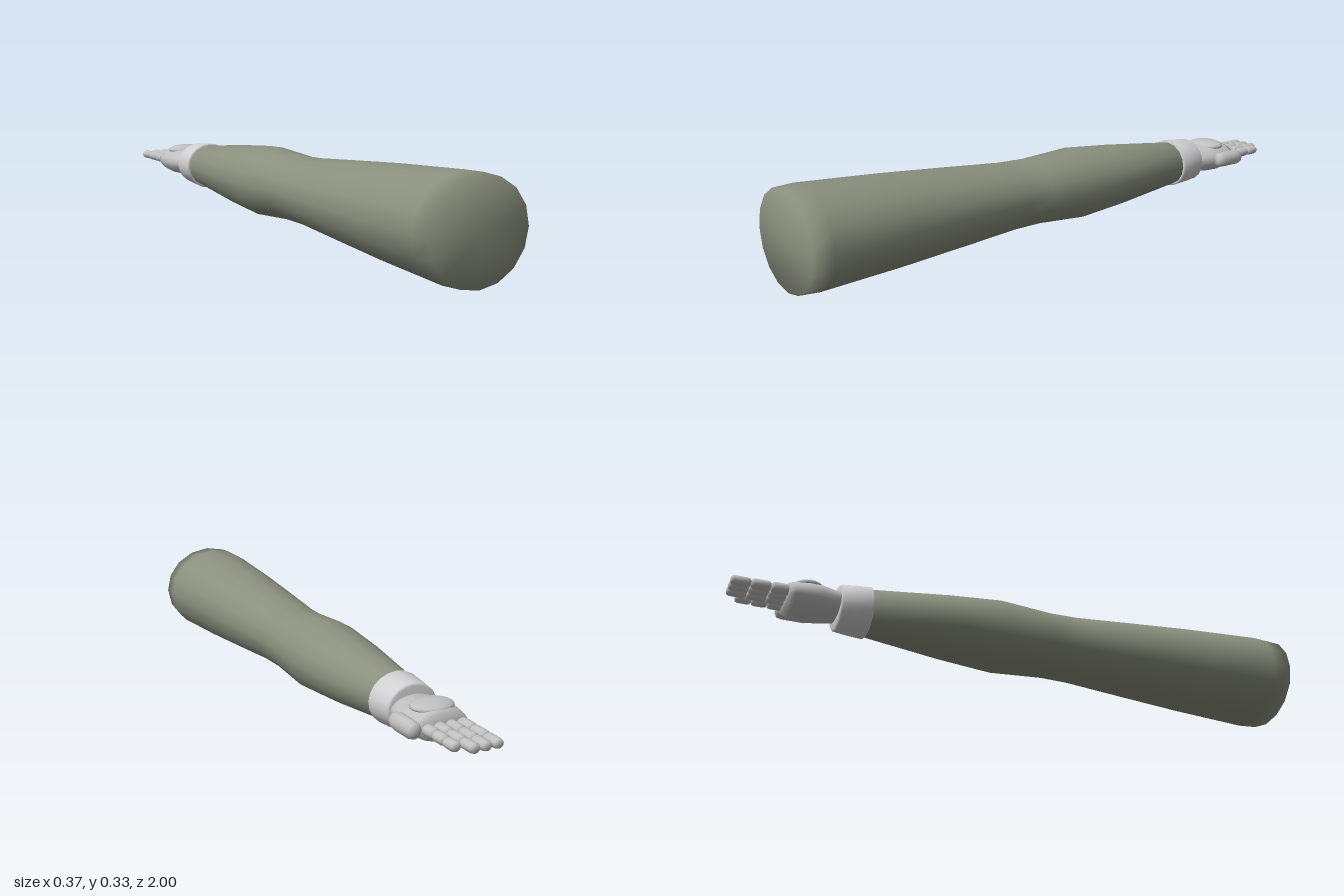
import * as THREE from 'three';

const CY = 0.167; // height of the arm's axis

// Smooth closed loft along z: rings are [z, rx, ry], ordered from +z to -z.
function loft(rings, sides) {
  const pos = [], idx = [];
  for (const [z, rx, ry] of rings) {
    for (let i = 0; i < sides; i++) {
      const a = (i / sides) * Math.PI * 2;
      pos.push(Math.cos(a) * rx, Math.sin(a) * ry, z);
    }
  }
  const n = rings.length, front = n * sides, back = front + 1;
  pos.push(0, 0, rings[0][0], 0, 0, rings[n - 1][0]);
  for (let i = 0; i < sides; i++) {
    const j = (i + 1) % sides;
    for (let r = 0; r < n - 1; r++) {
      const a = r * sides + i, b = r * sides + j;
      idx.push(a, a + sides, b + sides, a, b + sides, b);
    }
    idx.push(front, i, j, back, (n - 1) * sides + j, (n - 1) * sides + i);
  }
  const geo = new THREE.BufferGeometry();
  geo.setAttribute('position', new THREE.Float32BufferAttribute(pos, 3));
  geo.setIndex(idx);
  geo.computeVertexNormals();
  return geo;
}

// Rounded peg from z0 down to z1 with softened ends.
function peg(z0, z1, rx, ry, e) {
  return loft([
    [z0, rx * 0.5, ry * 0.5], [z0 - e * 0.3, rx * 0.85, ry * 0.85], [z0 - e, rx, ry],
    [z1 + e, rx, ry], [z1 + e * 0.3, rx * 0.85, ry * 0.85], [z1, rx * 0.5, ry * 0.5],
  ], 12);
}

export function createModel() {
  const sleeveMat = new THREE.MeshStandardMaterial({ color: 0x8b907e });
  sleeveMat.name = 'sleeve olive';
  const cuffMat = new THREE.MeshStandardMaterial({ color: 0xd0d0d2 });
  cuffMat.name = 'cuff light grey';
  const handMat = new THREE.MeshStandardMaterial({ color: 0xc0c0c0 });
  handMat.name = 'hand grey';

  const model = new THREE.Group();
  model.name = 'arm';
  const add = (name, geo, mat, x = 0, y = CY, z = 0, parent = model) => {
    const mesh = new THREE.Mesh(geo, mat);
    mesh.name = name;
    mesh.position.set(x, y, z);
    parent.add(mesh);
    return mesh;
  };

  // Upper arm and forearm
  add('sleeve', loft([
    [1, 0.18, 0.161], [0.93, 0.184, 0.165], [0.65, 0.167, 0.149], [0.4, 0.147, 0.13],
    [0.2, 0.13, 0.114], [0.1, 0.128, 0.112], [-0.09, 0.137, 0.124],
    [-0.28, 0.122, 0.108], [-0.56, 0.084, 0.077],
  ], 16), sleeveMat);

  // Wrist band
  add('cuff', loft([
    [-0.545, 0.088, 0.08], [-0.55, 0.095, 0.086], [-0.6, 0.091, 0.082],
    [-0.645, 0.086, 0.077], [-0.652, 0.08, 0.07],
  ], 20), cuffMat);

  // Hand
  const hand = new THREE.Group();
  hand.name = 'hand';
  model.add(hand);
  add('palm', loft([
    [-0.63, 0.076, 0.042], [-0.66, 0.081, 0.046], [-0.71, 0.095, 0.053], [-0.75, 0.095, 0.054],
    [-0.8, 0.088, 0.049], [-0.82, 0.081, 0.042],
  ], 20), handMat, 0, CY, 0, hand);

  const dome = add('backOfHandPlate', new THREE.SphereGeometry(1, 24, 12), handMat, 0, 0.211, -0.75, hand);
  dome.scale.set(0.07, 0.019, 0.056);

  add('thumb', peg(-0.708, -0.828, 0.026, 0.028, 0.022), handMat, 0.1, CY + 0.004, 0, hand);

  // Four fingers of three segments each
  const fingers = [[-0.06, -1], [-0.021, -1], [0.018, -1], [0.057, -0.967]];
  for (const [x, tip] of fingers) {
    const finger = new THREE.Group();
    finger.name = 'finger';
    hand.add(finger);
    const root = -0.812, len = (tip - root) / 3;
    for (let s = 0; s < 3; s++) {
      const r = 0.02 - s * 0.001;
      add('fingerSegment', peg(root + len * s, root + len * (s + 1), r, r - 0.002, 0.01),
        handMat, x, CY + 0.002, 0, finger);
    }
  }
  return model;
}
